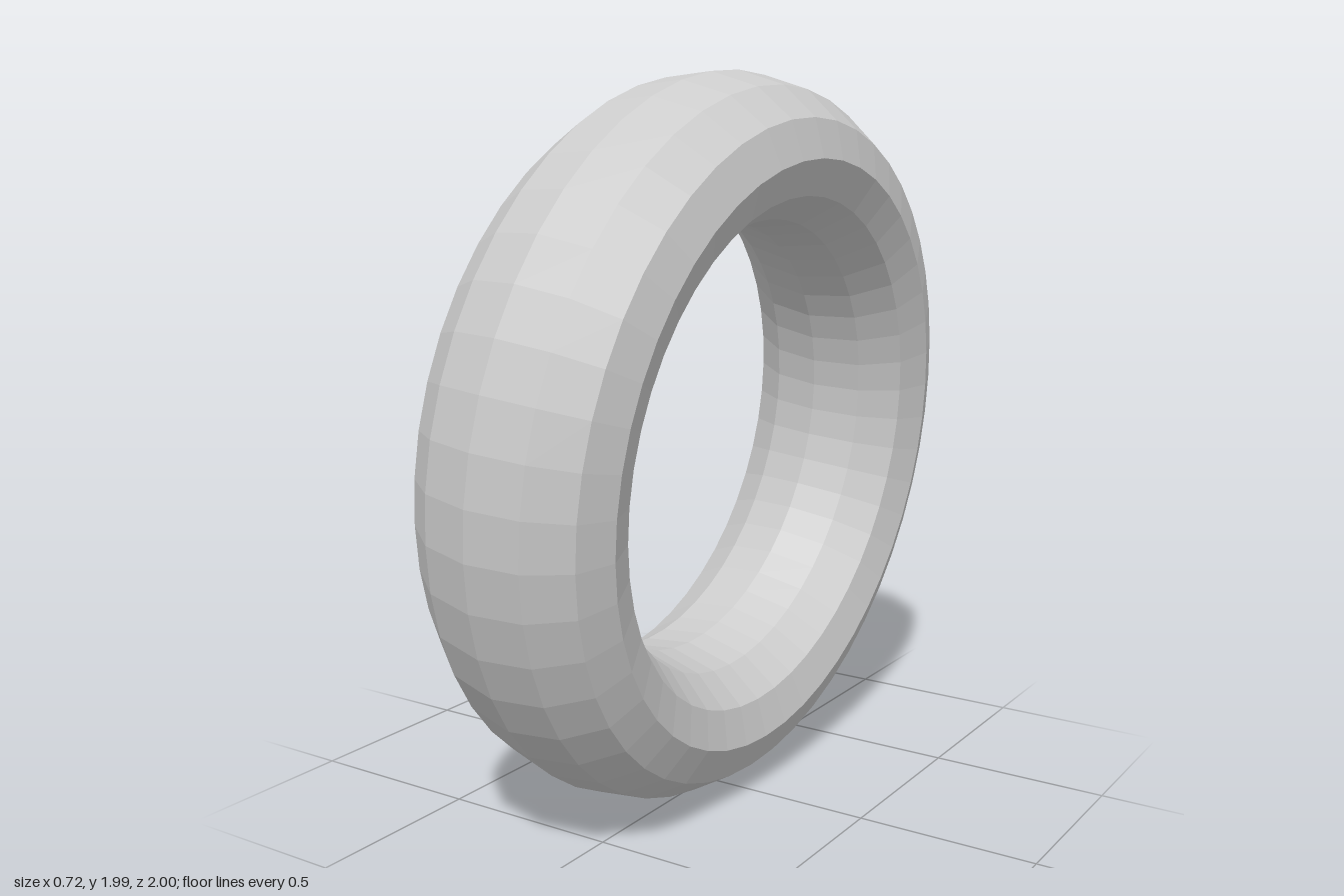
import * as THREE from 'three';

const RING_RADIUS = 0.8; // centre of the tube
const TUBE_RADIAL = 0.2; // half thickness, in to out
const TUBE_AXIAL = 0.28; // half width along the axle
const TILT = 0.1; // lean towards +x, radians
const TUBE_SIDES = 12;
const RING_SEGMENTS = 48;

export function createModel() {
  const group = new THREE.Group();
  group.name = 'leaningRing';

  // Oval twelve-sided cross-section, closed on itself
  const section = [];
  for (let i = 0; i <= TUBE_SIDES; i++) {
    const a = ((i % TUBE_SIDES) / TUBE_SIDES) * Math.PI * 2;
    section.push(new THREE.Vector2(
      RING_RADIUS + TUBE_RADIAL * Math.cos(a),
      TUBE_AXIAL * Math.sin(a)
    ));
  }

  // Swept round the axle, then stood upright with a slight lean
  const geometry = new THREE.LatheGeometry(section, RING_SEGMENTS);
  geometry.rotateZ(-Math.PI / 2 - TILT);
  geometry.computeBoundingBox();
  geometry.translate(0, -geometry.boundingBox.min.y, 0);

  const ring = new THREE.Mesh(
    geometry,
    new THREE.MeshStandardMaterial({ color: 0xcccccc, flatShading: true })
  );
  ring.name = 'tyre';
  group.add(ring);
  return group;
}
